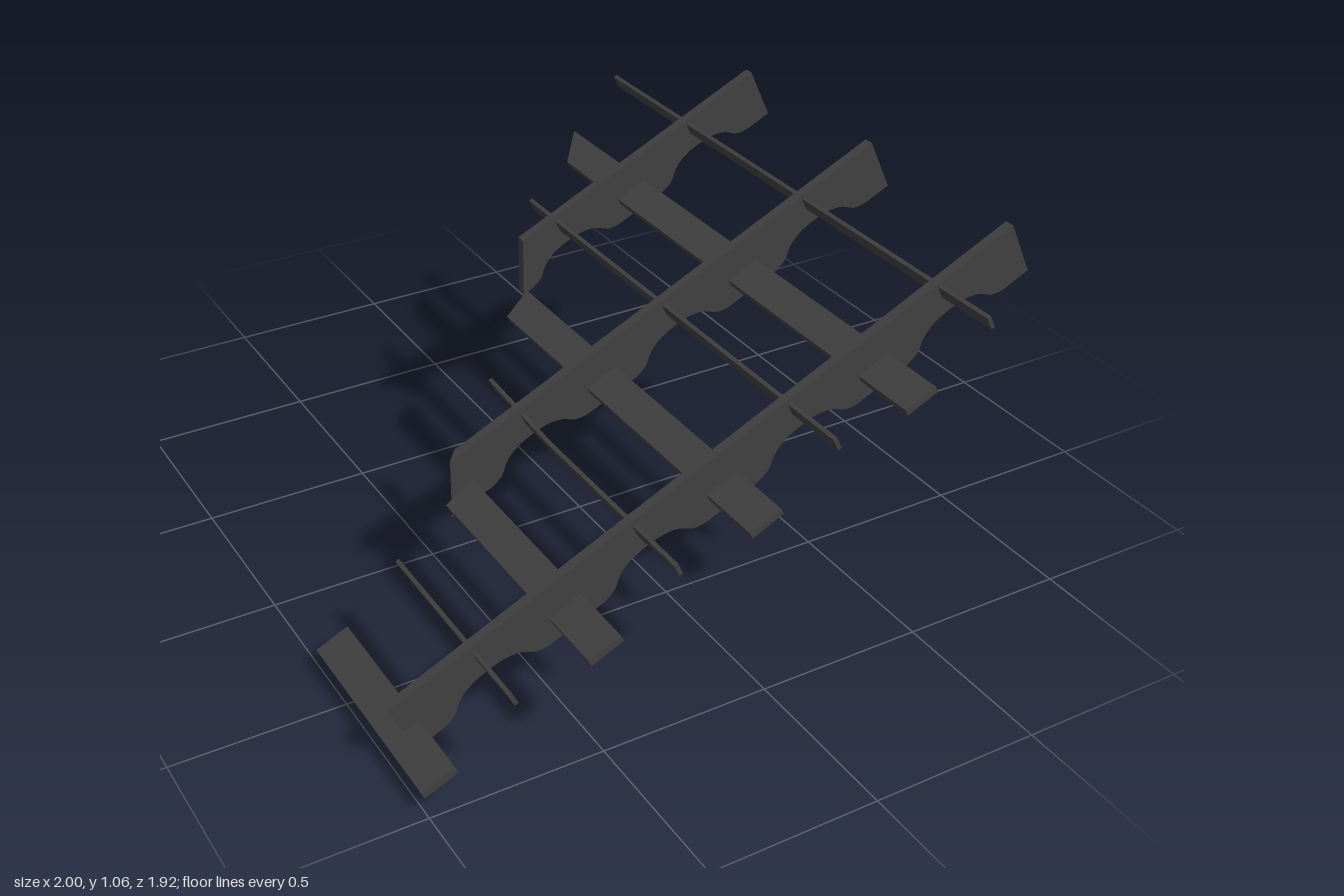
import * as THREE from 'three';

const SLOPE = Math.atan2(0.9, 1.915);
const C = Math.cos(SLOPE), S = Math.sin(SLOPE);
const LENGTH = 2.115, PITCH = LENGTH / 4, DEPTH = 0.172;
const TIMBER = new THREE.MeshStandardMaterial({ color: 0x444444, flatShading: true });

// Point at distance u along the rafter's top edge and n below it
const onSlope = (u, n) => new THREE.Vector2(-0.99 + u * C + n * S, 0.165 + u * S - n * C);

// One scalloped hollow on the underside, centred on u = 0
const scallop = new THREE.SplineCurve([
  [-0.172, 0.172], [-0.134, 0.16], [-0.1, 0.128], [-0.055, 0.109], [0, 0.104],
  [0.055, 0.109], [0.1, 0.128], [0.134, 0.16], [0.172, 0.172],
].map(([u, n]) => new THREE.Vector2(u, n))).getPoints(24);

// Sloping rafter; startX cuts its low end vertically, mitre skews that cut
function makeRafter(name, z, startX, mitre = 0) {
  const thickness = 0.03;
  let lower = [onSlope(0, DEPTH)];
  for (let k = 0; k < 4; k++) {
    for (const p of scallop) lower.push(onSlope((k + 0.5) * PITCH + p.x, p.y));
  }
  lower.push(onSlope(LENGTH, DEPTH));
  let topStart = onSlope(0, 0);
  if (startX !== undefined) {
    lower = lower.filter((p) => p.x > startX + mitre + 0.005);
    const cutY = lower[0].y - (lower[0].x - startX) * Math.tan(SLOPE);
    lower.unshift(new THREE.Vector2(startX, cutY));
    topStart = onSlope((startX + 0.99) / C, 0);
  }
  const shape = new THREE.Shape([onSlope(LENGTH, 0), topStart, ...lower]);
  const geo = new THREE.ExtrudeGeometry(shape, { depth: thickness, bevelEnabled: false });
  geo.translate(0, 0, -thickness / 2);
  if (mitre) {
    const pos = geo.attributes.position;
    for (let i = 0; i < pos.count; i++) {
      if (pos.getX(i) < startX + 1e-4 && pos.getZ(i) < 0) {
        pos.setX(i, pos.getX(i) + mitre);
        pos.setY(i, pos.getY(i) + mitre * Math.tan(SLOPE));
      }
    }
    geo.computeVertexNormals();
  }
  const mesh = new THREE.Mesh(geo, TIMBER);
  mesh.name = name;
  mesh.position.z = z;
  return mesh;
}

// Cross bar lying in the slope, from z = 0.96 back to an end cut between two z values;
// bend shifts the part behind z = 0.31 sideways
function makeBar(name, w, h, x, y, endLow, endHigh = endLow, bend = 0) {
  const geo = new THREE.BoxGeometry(w, h, 1, 1, 1, 2);
  const pos = geo.attributes.position;
  for (let i = 0; i < pos.count; i++) {
    const t = pos.getZ(i);
    const end = pos.getX(i) < 0 ? endLow : endHigh;
    if (t < -0.1) pos.setX(i, pos.getX(i) + bend);
    pos.setZ(i, t > 0.1 ? 0.96 : t < -0.1 ? end : Math.max(0.31, end + 0.01));
  }
  geo.computeVertexNormals();
  const mesh = new THREE.Mesh(geo, TIMBER);
  mesh.name = name;
  mesh.position.set(x, y, 0);
  mesh.rotation.z = SLOPE;
  return mesh;
}

export function createModel() {
  const model = new THREE.Group();
  model.name = 'roofFrame';

  // Three rafters, the rear ones shortened along the hip
  model.add(
    makeRafter('frontRafter', 0.74),
    makeRafter('middleRafter', 0.107, -0.49, 0.03),
    makeRafter('rearRafter', -0.527, 0.09),
  );

  // Wide flat purlins: x, y, rear end at the low and high edges
  [
    [-0.948, 0.07, 0.305, 0.305],
    [-0.471, 0.296, 0.155, 0.135],
    [0.007, 0.522, -0.37, -0.415],
    [0.485, 0.747, -0.84, -0.96],
  ].forEach(([x, y, low, high], i) => {
    model.add(makeBar(`purlin${i + 1}`, 0.105, 0.021, x, y, low, high));
  });

  // Thin upright battens between the purlins: x, y, rear end, sideways bend
  [
    [-0.738, 0.248, 0.305, 0],
    [-0.26, 0.473, -0.08, 0.015],
    [0.217, 0.699, -0.68, 0],
    [0.695, 0.924, -0.96, 0],
  ].forEach(([x, y, end, bend], i) => {
    model.add(makeBar(`batten${i + 1}`, 0.012, 0.041, x, y, end, end, bend));
  });

  return model;
}
